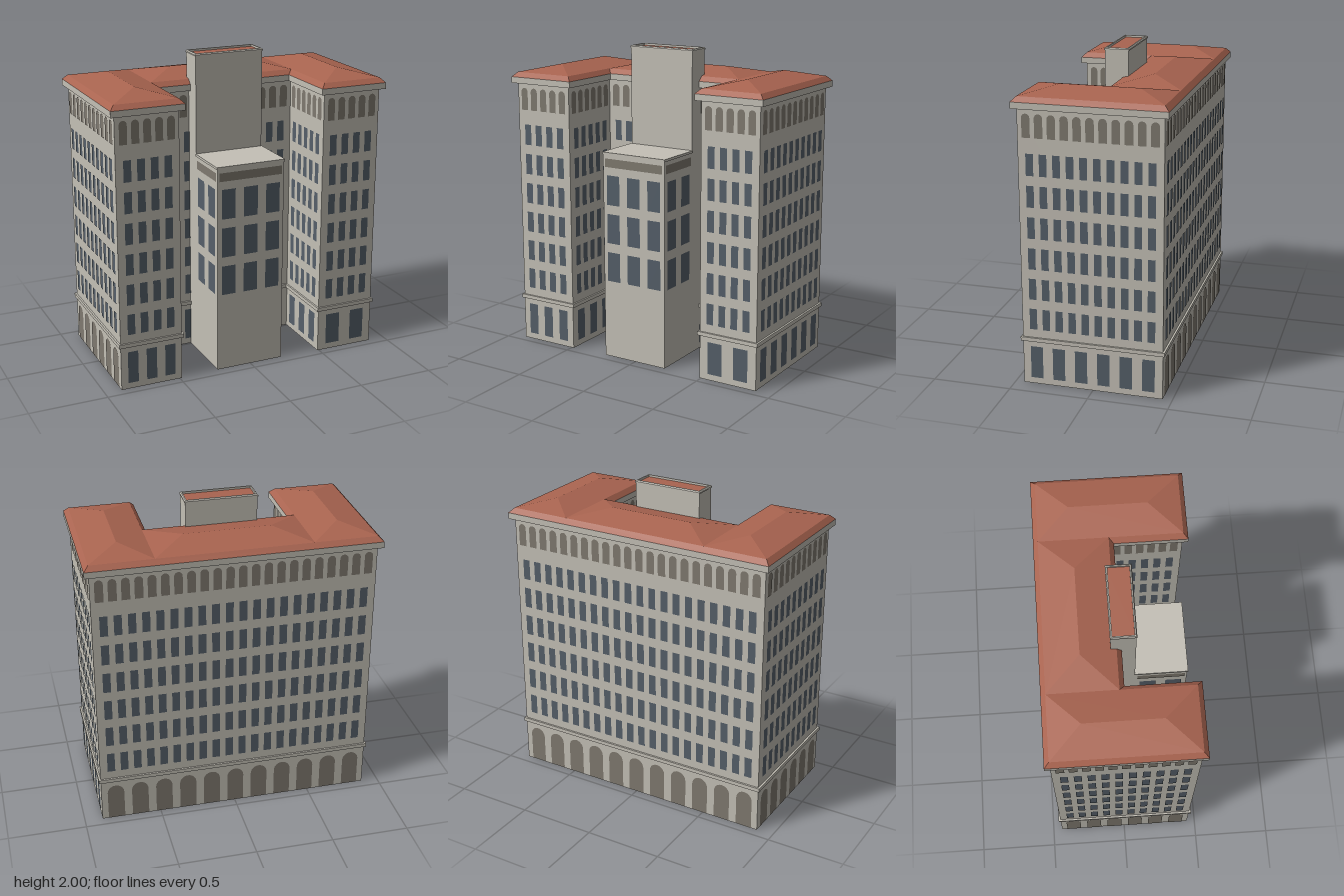
import * as THREE from 'three';
import { mergeGeometries } from 'three/addons/utils/BufferGeometryUtils.js';

const material = (name, color, side = THREE.FrontSide) => {
  const m = new THREE.MeshStandardMaterial({ color, side });
  m.name = name;
  return m;
};

export function createModel() {
  const model = new THREE.Group();
  model.name = 'building';
  const stone = material('pale stone', 0xc4c0b6, THREE.DoubleSide);
  const tile = material('red roof tile', 0xa96450, THREE.DoubleSide);
  const glass = material('dark window glass', 0x555f69);
  const recess = material('shaded recess', 0x7f796f);

  const add = (name, geometry, mat, parent = model) => {
    const mesh = new THREE.Mesh(geometry, mat);
    mesh.name = name;
    parent.add(mesh);
    return mesh;
  };

  // Flat-faced geometry from convex polygons of [x, y, z] corners
  const faces = (polygons) => {
    const pos = [];
    for (const p of polygons)
      for (let i = 1; i < p.length - 1; i++) pos.push(...p[0], ...p[i], ...p[i + 1]);
    const g = new THREE.BufferGeometry();
    g.setAttribute('position', new THREE.Float32BufferAttribute(pos, 3));
    g.computeVertexNormals();
    return g;
  };

  // Sweep a profile of [outset, height] around a closed plan outline
  const sweep = (outline, profile) => {
    const polygons = [];
    for (let k = 0; k < profile.length - 1; k++) {
      const [d0, y0] = profile[k], [d1, y1] = profile[k + 1];
      const lo = outline(d0), hi = outline(d1);
      lo.forEach((a, i) => {
        const j = (i + 1) % lo.length, b = lo[j];
        polygons.push([[a[0], y0, a[1]], [hi[i][0], y1, hi[i][1]],
          [hi[j][0], y1, hi[j][1]], [b[0], y0, b[1]]]);
      });
    }
    return faces(polygons);
  };

  // Plan outlines, grown outward by d
  const X0 = -0.89, X1 = 0.885, L = -0.485, R = 0.49, Z0 = -0.44, ZM = -0.01, Z1 = 0.445;
  const plan = (d) => [[X0 - d, Z0 - d], [X1 + d, Z0 - d], [X1 + d, Z1 + d], [R - d, Z1 + d],
    [R - d, ZM + d], [L + d, ZM + d], [L + d, Z1 + d], [X0 - d, Z1 + d]];
  const rect = (x0, x1, z0, z1) => (d) =>
    [[x0 - d, z0 - d], [x1 + d, z0 - d], [x1 + d, z1 + d], [x0 - d, z1 + d]];

  // Main U-shaped body, open underneath
  add('walls', sweep(plan, [[0, 0], [0, 1.79]]), stone);
  add('beltCourse', sweep(plan, [[0, 0.285], [0.012, 0.285], [0.012, 0.31], [0, 0.31]]), stone);
  add('cornice', sweep(plan, [[0, 1.75], [0.03, 1.75], [0.03, 1.79], [0, 1.79]]), stone);

  // Roofs: a steep eave around the plan, then three hips
  const roof = new THREE.Group();
  roof.name = 'roof';
  model.add(roof);
  const EAVE = 1.82, RIDGE = 1.865;
  add('eave', sweep(plan, [[0.03, 1.79], [0, EAVE]]), tile, roof);
  const hip = (name, corners, ridge) => {
    const [a, b, c, d] = corners.map(([x, z]) => [x, EAVE, z]);
    const [p, q] = ridge.map(([x, z]) => [x, RIDGE, z]);
    add(name, faces([[a, p, b], [b, p, q, c], [c, q, d], [d, q, p, a]]), tile, roof);
  };
  for (const [name, a, b] of [['rightWingRoof', X0, L], ['leftWingRoof', R, X1]]) {
    const m = (a + b) / 2;
    hip(name, rect(a, b, Z0, Z1)(0), [[m, -0.245], [m, 0.24]]);
  }
  const [a, b, c, d] = rect(L, R, Z0, ZM)(0);
  hip('middleRoof', [d, a, b, c], [[-0.27, -0.228], [0.28, -0.228]]);

  // Thin openings, drawn around their own centre
  const pane = (w, h) => new THREE.PlaneGeometry(w, h);
  const arch = (w, h) => {
    const s = new THREE.Shape();
    s.moveTo(-w / 2, -h / 2);
    s.lineTo(w / 2, -h / 2);
    s.lineTo(w / 2, h / 2 - w / 2);
    s.absarc(0, h / 2 - w / 2, w / 2, 0, Math.PI, false);
    s.closePath();
    return new THREE.ShapeGeometry(s, 6);
  };

  // A row of n openings along one wall, facing outward
  const row = (p, q, n, margin, ratio, y0, y1, make) => {
    const len = Math.hypot(q[0] - p[0], q[1] - p[1]);
    const tx = (q[0] - p[0]) / len, tz = (q[1] - p[1]) / len;
    const step = (len - 2 * margin) / n;
    return Array.from({ length: n }, (_, i) => {
      const s = margin + step * (i + 0.5);
      const g = make(step * ratio, y1 - y0);
      g.rotateY(Math.atan2(tz, -tx));
      g.translate(p[0] + tx * s + tz * 0.003, (y0 + y1) / 2, p[1] + tz * s - tx * 0.003);
      return g;
    });
  };

  // Openings on every wall of the body; the back and right side have a ground arcade
  const corners = plan(0);
  corners.forEach((p, i) => {
    const q = corners[(i + 1) % corners.length];
    const len = Math.hypot(q[0] - p[0], q[1] - p[1]);
    const wall = new THREE.Group();
    wall.name = 'wallOpenings' + (i + 1);
    model.add(wall);
    const windows = [];
    for (let f = 0; f < 6; f++) {
      const y = 0.365 + f * 0.196;
      windows.push(...row(p, q, Math.round(len / 0.0905), 0.03, 0.57, y, y + 0.135, pane));
    }
    add('windows', mergeGeometries(windows), glass, wall);
    add('topArches', mergeGeometries(
      row(p, q, Math.round(len / 0.08), 0.015, 0.66, 1.575, 1.72, arch)), recess, wall);
    const n = Math.round(len / 0.16);
    if (i === 0 || i === 7)
      add('groundArches', mergeGeometries(row(p, q, n, 0.015, 0.68, 0.005, 0.25, arch)), recess, wall);
    else
      add('groundWindows', mergeGeometries(row(p, q, n, 0.017, 0.55, 0.04, 0.25, pane)), glass, wall);
  });

  // Central tower: a tall slab with a lower block in front
  const tower = new THREE.Group();
  tower.name = 'tower';
  model.add(tower);
  const TX0 = -0.233, TX1 = 0.223;
  add('slab', sweep(rect(TX0, TX1, -0.045, 0.105), [[0, 0], [0, 1.985], [0.004, 1.985],
    [0.004, 1.993], [-0.002, 2], [-0.01, 2], [-0.01, 1.985]]), stone, tower);
  const slabTop = add('slabRoof', new THREE.PlaneGeometry(TX1 - TX0, 0.15), tile, tower);
  slabTop.rotation.x = -Math.PI / 2;
  slabTop.position.set((TX0 + TX1) / 2, 1.987, 0.03);

  const block = rect(TX0, TX1, 0.105, 0.432);
  add('frontBlock', sweep(block, [[0, 0], [0, 1.35]]), stone, tower);
  const cap = add('frontBlockCap', new THREE.BoxGeometry(TX1 - TX0 + 0.01, 0.015, 0.335), stone, tower);
  cap.position.set((TX0 + TX1) / 2, 1.3525, 0.2695);

  // Tower windows and the shaded band above them, on the front and both sides
  const t = block(0), panes = [], bands = [];
  for (const [i, n] of [[1, 2], [2, 3], [3, 2]]) {
    const p = t[i], q = t[(i + 1) % 4];
    for (const y of [0.515, 0.768, 1.02])
      panes.push(...row(p, q, n, 0, 0.62, y, y + 0.193, pane));
    bands.push(...row(p, q, 1, 0.015, 1, 1.265, 1.32, pane));
  }
  add('towerWindows', mergeGeometries(panes), glass, tower);
  add('towerBand', mergeGeometries(bands), recess, tower);

  return model;
}
